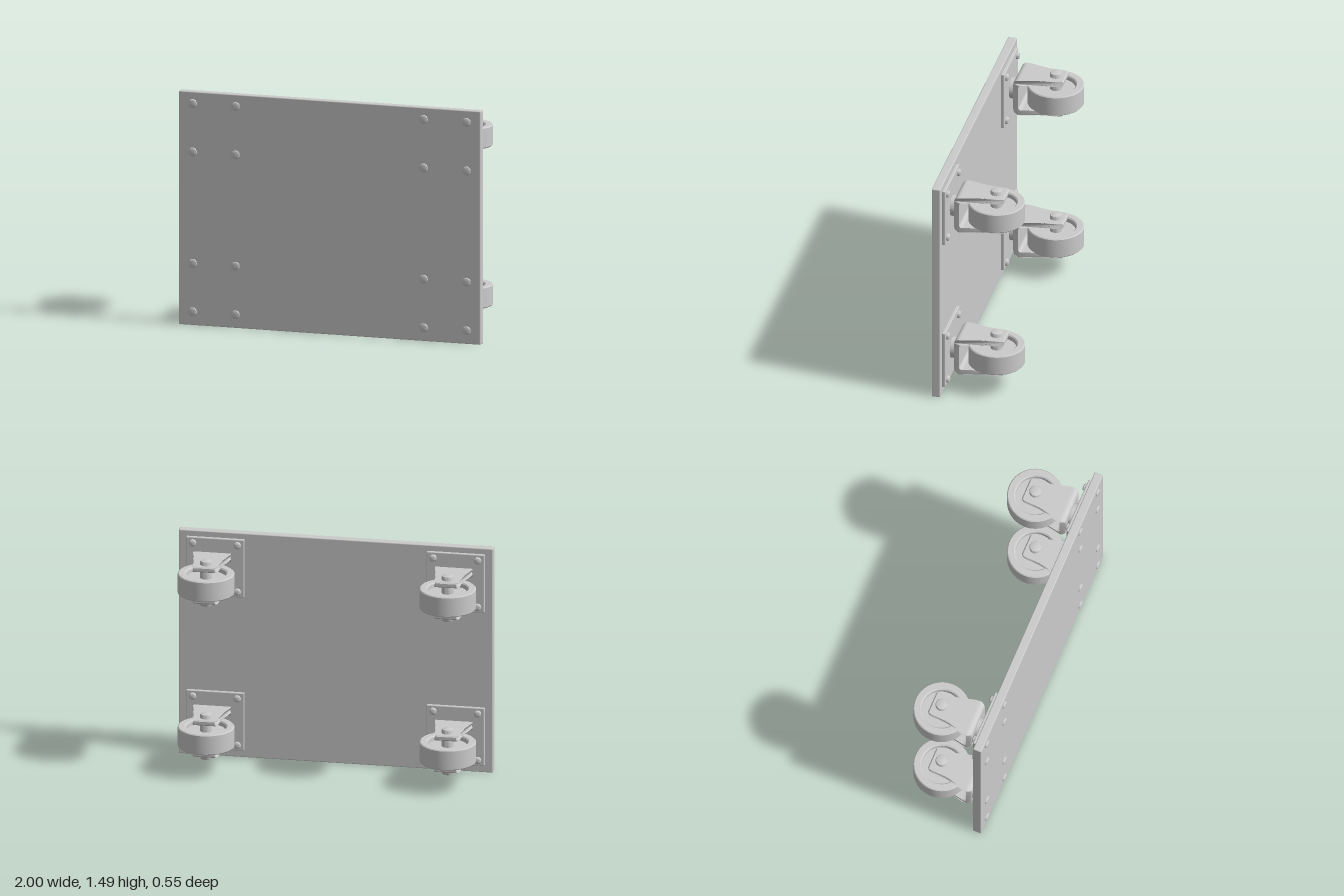
import * as THREE from 'three';
import { toCreasedNormals } from 'three/addons/utils/BufferGeometryUtils.js';
import { RoundedBoxGeometry } from 'three/addons/geometries/RoundedBoxGeometry.js';

const grey = new THREE.MeshStandardMaterial({ color: 0xcccccc });

function part(name, geometry, x = 0, y = 0, z = 0) {
  const mesh = new THREE.Mesh(geometry, grey);
  mesh.name = name;
  mesh.position.set(x, y, z);
  return mesh;
}

// Turned part around y; the profile runs from bottom to top
function turned(profile, segments) {
  const points = profile.map(([r, y]) => new THREE.Vector2(r, y));
  return toCreasedNormals(new THREE.LatheGeometry(points, segments), 0.6);
}

// Pin around y with softened ends
function pin(r, half, soft) {
  const top = [[r, half - soft], [r - soft * 0.3, half - soft * 0.3], [r - soft, half], [0, half]];
  const bottom = top.map(([x, y]) => [x, -y]).reverse();
  return turned([...bottom, ...top], 32);
}

// Bolt head: low dome rising along +z
function boltHead(r, h) {
  return turned([[r, 0], [r, h * 0.45], [r * 0.9, h * 0.75], [r * 0.65, h * 0.93], [0, h]], 20)
    .rotateX(Math.PI / 2);
}

// Half-width of the fork along z: flared base, waist, chamfered tip
const forkWidths = [
  [-0.165, 0.062], [-0.155, 0.072], [-0.14, 0.08], [-0.03, 0.086], [0, 0.093],
  [0.04, 0.105], [0.08, 0.115], [0.11, 0.12], [0.13, 0.118], [0.15, 0.108],
];
function forkHalfWidth(z) {
  for (let i = 1; i < forkWidths.length; i++) {
    const [z0, w0] = forkWidths[i - 1], [z1, w1] = forkWidths[i];
    if (z <= z1) return THREE.MathUtils.lerp(w0, w1, Math.max(0, (z - z0) / (z1 - z0)));
  }
  return 0.108;
}

// U-shaped fork: bent strip outline in z/y, swept across x and tapered
function forkGeometry() {
  const tip = -0.162, back = 0.15, H = 0.123, t = 0.035, R = 0.035, r = 0.015, c = 0.008;
  const inner = H - t, wall = back - t;
  const s = new THREE.Shape();
  s.moveTo(tip + c, -H);
  s.lineTo(back - R, -H);
  s.absarc(back - R, -H + R, R, -Math.PI / 2, 0);
  s.lineTo(back, H - R);
  s.absarc(back - R, H - R, R, 0, Math.PI / 2);
  s.lineTo(tip + c, H);
  s.lineTo(tip, H - c);
  s.lineTo(tip, inner + c);
  s.lineTo(tip + c, inner);
  s.lineTo(wall - r, inner);
  s.absarc(wall - r, inner - r, r, Math.PI / 2, 0, true);
  s.lineTo(wall, -inner + r);
  s.absarc(wall - r, -inner + r, r, 0, -Math.PI / 2, true);
  s.lineTo(tip + c, -inner);
  s.lineTo(tip, -inner - c);
  s.lineTo(tip, -H + c);
  s.closePath();

  // Subdivide long edges so the taper can bend them
  const outline = s.getPoints(8), dense = [];
  outline.forEach((p, i) => {
    const q = outline[(i + 1) % outline.length];
    const n = Math.max(1, Math.ceil(p.distanceTo(q) / 0.012));
    if (p.distanceTo(q) < 1e-6) return;
    for (let k = 0; k < n; k++) dense.push(p.clone().lerp(q, k / n));
  });
  const g = new THREE.ExtrudeGeometry(new THREE.Shape(dense), { depth: 2, bevelEnabled: false });
  g.translate(0, 0, -1).rotateY(-Math.PI / 2);
  const pos = g.attributes.position;
  for (let i = 0; i < pos.count; i++) pos.setX(i, pos.getX(i) * forkHalfWidth(pos.getZ(i)));
  return toCreasedNormals(g, 0.6);
}

export function createModel() {
  const model = new THREE.Group();
  model.name = 'platformDolly';
  model.add(part('board', new RoundedBoxGeometry(2, 1.492, 0.056, 2, 0.007), 0, 0.746, 0.237));

  const axleZ = -0.098;
  const plateGeo = new RoundedBoxGeometry(0.37, 0.385, 0.024, 2, 0.006);
  const stemGeo = new THREE.CylinderGeometry(0.067, 0.067, 0.07, 40).rotateX(Math.PI / 2);
  const forkGeo = forkGeometry();
  const axleGeo = pin(0.038, 0.151, 0.01);
  const frontBolt = boltHead(0.028, 0.013);
  const backBolt = boltHead(0.023, 0.022).rotateY(Math.PI);

  // Wheel with a dished recess on both faces
  const upper = [[0.178, 0.061], [0.172, 0.067], [0.134, 0.067], [0.126, 0.06], [0.124, 0.035], [0, 0.035]];
  const lower = upper.map(([r, y]) => [r, -y]).reverse();
  const wheelGeo = turned([...lower, ...upper], 64);

  for (const side of [-1, 1]) {
    for (const y of [0.241, 1.262]) {
      const caster = new THREE.Group();
      caster.name = 'caster';
      caster.position.set(side * 0.769, y, 0);
      caster.add(
        part('mountingPlate', plateGeo, -side * 0.004, 0, 0.2),
        part('swivelStem', stemGeo, 0, 0, 0.165),
        part('fork', forkGeo),
        part('wheel', wheelGeo, 0, 0, axleZ),
        part('axle', axleGeo, 0, 0, axleZ),
      );
      // Bolts at the four corners of the plate, through the board
      for (const bx of [-0.142, 0.142]) {
        for (const by of [-0.155, 0.155]) {
          const x = bx - side * 0.004;
          caster.add(part('frontBoltHead', frontBolt, x, by, 0.264));
          caster.add(part('backBoltHead', backBolt, x, by, 0.19));
        }
      }
      model.add(caster);
    }
  }
  return model;
}
